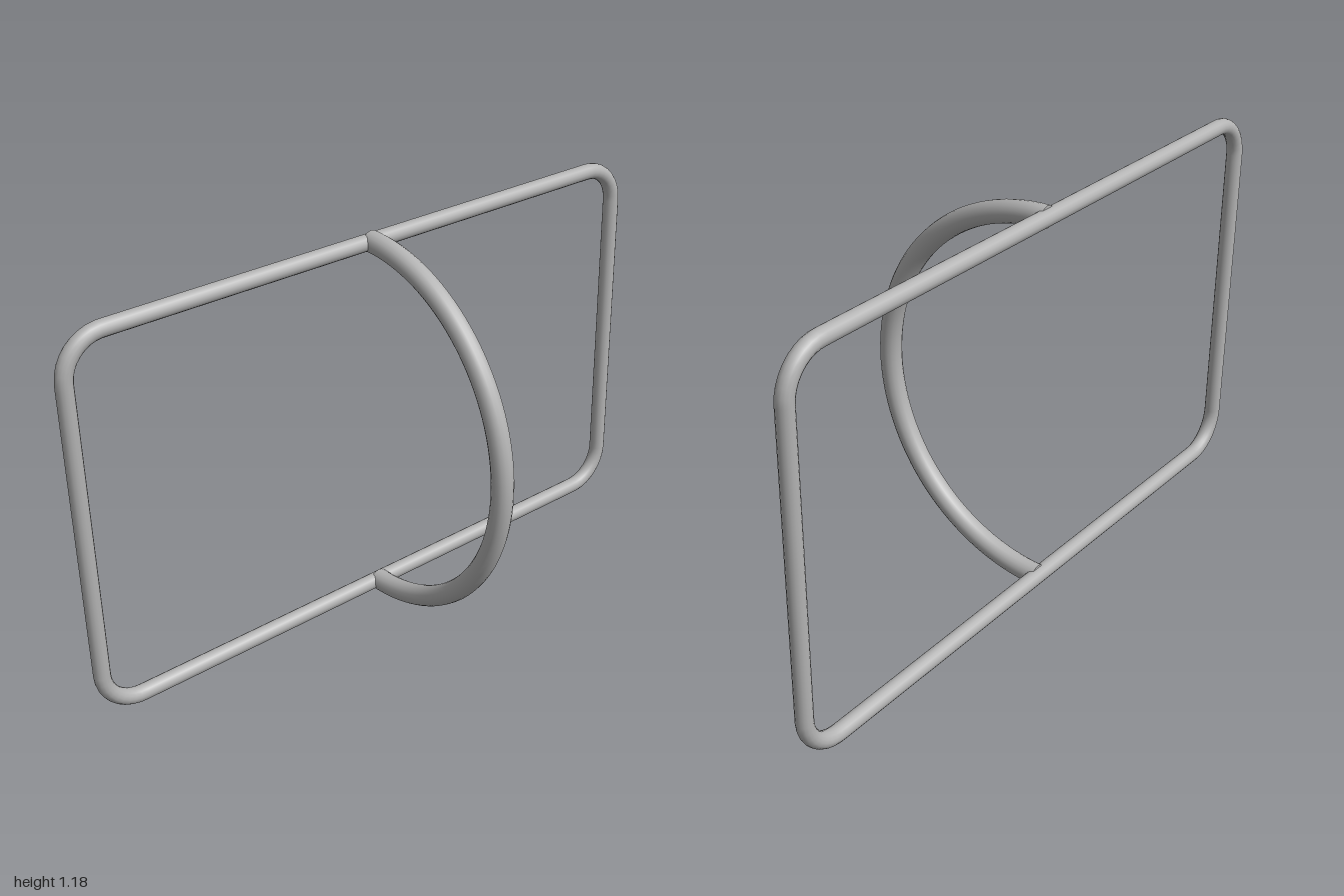
import * as THREE from 'three';

const CENTRE_Y = 0.593, BACK_Z = -0.274;
const HALF_W = 0.974, HALF_H = 0.56, CORNER = 0.118;
const FRAME_R = 0.024, HOOP_R = 0.032, HOOP_DEPTH = 0.542;

// Rounded rectangle centreline: one straight side and one corner per quarter turn
function framePath() {
  const path = new THREE.CurvePath();
  const v = (x, y) => new THREE.Vector3(x, y, 0);
  const k = CORNER * (1 - 0.5523);
  const corners = [[1, 1], [-1, 1], [-1, -1], [1, -1]];
  corners.forEach(([sx, sy], i) => {
    const x = sx * HALF_W, y = sy * HALF_H;
    const onSide = (d) => v(x, y - sy * d);
    const onRail = (d) => v(x - sx * d, y);
    const [from, to] = i % 2 === 0 ? [onSide, onRail] : [onRail, onSide];
    path.add(new THREE.CubicBezierCurve3(from(CORNER), from(k), to(k), to(CORNER)));
    const [nx, ny] = corners[(i + 1) % 4];
    const next = i % 2 === 0
      ? v(nx * (HALF_W - CORNER), y)
      : v(x, ny * (HALF_H - CORNER));
    path.add(new THREE.LineCurve3(to(CORNER), next));
  });
  return path;
}

// Half ellipse bulging forward, from the top rail to the bottom rail
class HoopCurve extends THREE.Curve {
  getPoint(t, target = new THREE.Vector3()) {
    const a = t * Math.PI;
    return target.set(0, Math.cos(a) * HALF_H, Math.sin(a) * HOOP_DEPTH);
  }
}

export function createModel() {
  const model = new THREE.Group();
  model.name = 'wireFrameWithHoop';
  const metal = new THREE.MeshStandardMaterial({ color: 0xb3b3b3 });
  metal.name = 'grey metal';

  // Rectangular rod frame
  const frame = new THREE.Mesh(new THREE.TubeGeometry(framePath(), 280, FRAME_R, 16, true), metal);
  frame.name = 'rectangularFrame';

  // Curved hoop with flat ends
  const hoop = new THREE.Group();
  hoop.name = 'hoop';
  const rod = new THREE.Mesh(new THREE.TubeGeometry(new HoopCurve(), 64, HOOP_R, 16, false), metal);
  rod.name = 'hoopRod';
  hoop.add(rod);
  for (const side of [1, -1]) {
    const cap = new THREE.Mesh(new THREE.CircleGeometry(HOOP_R, 16), metal);
    cap.name = side > 0 ? 'hoopTopEnd' : 'hoopBottomEnd';
    cap.rotation.y = Math.PI;
    cap.position.y = side * HALF_H;
    hoop.add(cap);
  }

  for (const part of [frame, hoop]) {
    part.position.set(0, CENTRE_Y, BACK_Z);
    model.add(part);
  }
  return model;
}
